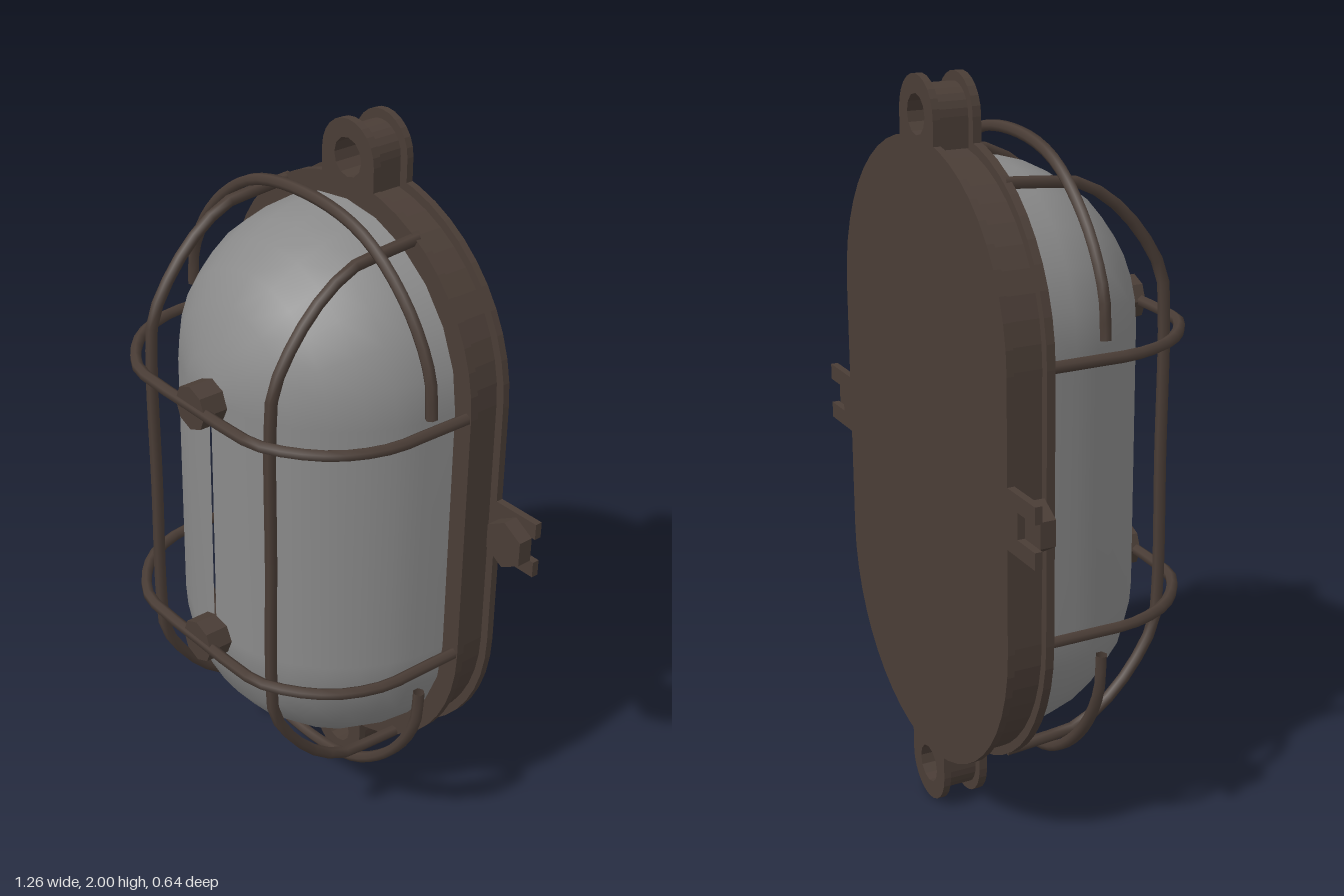
import * as THREE from 'three';

const CY = 1.0, HALF = 0.36; // middle height, half length of the straight sides

export function createModel() {
  const model = new THREE.Group();
  const metal = new THREE.MeshStandardMaterial({ color: 0x4a3d36, side: THREE.DoubleSide });
  metal.name = 'dark brown metal';
  const glass = new THREE.MeshStandardMaterial({ color: 0x8a8a8a });
  glass.name = 'grey glass';

  const add = (name, geometry, material = metal) => {
    const mesh = new THREE.Mesh(geometry, material);
    mesh.name = name;
    model.add(mesh);
    return mesh;
  };
  const slab = (shape, z0, z1, curveSegments = 12) =>
    new THREE.ExtrudeGeometry(shape, { depth: z1 - z0, bevelEnabled: false, curveSegments }).translate(0, 0, z0);

  // Rounded-end outline around the two end centres
  const stadium = (r) => {
    const s = new THREE.Shape();
    s.absarc(0, CY + HALF, r, 0, Math.PI, false);
    s.absarc(0, CY - HALF, r, Math.PI, 2 * Math.PI, false);
    s.closePath();
    return s;
  };

  // Base: two flanges with a shallow channel between them
  add('backFlange', slab(stadium(0.487), -0.325, -0.305));
  add('baseBody', slab(stadium(0.463), -0.305, -0.218));
  add('frontFlange', slab(stadium(0.487), -0.218, -0.195));

  // Hanging lugs at the top and bottom
  const lugShape = (r, hole) => {
    const s = new THREE.Shape();
    s.moveTo(-r, 0.82);
    s.lineTo(r, 0.82);
    s.absarc(0, 0.9, r, 0, Math.PI, false);
    s.closePath();
    const h = new THREE.Path();
    h.absarc(0, 0.9, hole, 0, 2 * Math.PI, true);
    s.holes.push(h);
    return s;
  };
  for (const [side, turn] of [['top', 0], ['bottom', Math.PI]]) {
    for (const [part, r, z0, z1] of [
      ['LugBack', 0.1, -0.325, -0.305],
      ['LugBoss', 0.075, -0.305, -0.218],
      ['LugFront', 0.1, -0.218, -0.195],
    ]) {
      const geo = slab(lugShape(r, 0.052), z0, z1, 6).rotateZ(turn).translate(0, CY, 0);
      add(side + part, geo);
    }
  }

  // Slotted side tabs with hexagonal bolts
  for (const s of [1, -1]) {
    const side = s > 0 ? 'left' : 'right';
    const pts = [[0.44, -0.08], [0.63, -0.08], [0.63, -0.035], [0.54, -0.035],
      [0.54, 0.035], [0.63, 0.035], [0.63, 0.08], [0.44, 0.08]];
    const tab = new THREE.Shape(pts.map(([x, y]) => new THREE.Vector2(s * x, CY + 0.005 + y)));
    add(side + 'Tab', slab(tab, -0.325, -0.305));
    const bolt = new THREE.CylinderGeometry(0.068, 0.068, 0.042, 6).toNonIndexed();
    bolt.rotateX(Math.PI / 2).computeVertexNormals();
    add(side + 'Bolt', bolt).position.set(s * 0.56, CY + 0.005, -0.284);
  }

  // Glass cover: shrinking rounded-end loops up to a ridge line
  const profile = [[0.43, -0.2], [0.42, -0.1], [0.4, -0.03], [0.365, 0.04], [0.31, 0.115],
    [0.235, 0.175], [0.12, 0.228], [0.004, 0.245]];
  const arc = 12, ring = 2 * (arc + 1), pos = [], idx = [];
  for (const [r, z] of profile) {
    for (let i = 0; i < ring; i++) {
      const upper = i <= arc;
      const a = (upper ? i : i - 1) / arc * Math.PI;
      pos.push(r * Math.cos(a), CY + (upper ? HALF : -HALF) + r * Math.sin(a), z);
    }
  }
  for (let k = 0; k < profile.length - 1; k++) {
    for (let i = 0; i < ring; i++) {
      const a = k * ring + i, b = k * ring + (i + 1) % ring;
      idx.push(a, b, b + ring, a, b + ring, a + ring);
    }
  }
  const cover = new THREE.BufferGeometry();
  cover.setAttribute('position', new THREE.Float32BufferAttribute(pos, 3));
  cover.setIndex(idx);
  cover.computeVertexNormals();
  add('glassCover', cover, glass);

  // Guard wires: half a path mirrored, then swept
  const wire = (name, half, place) => {
    const full = [...half, ...half.filter(([u]) => u !== 0).reverse().map(([u, v]) => [-u, v])];
    const curve = new THREE.CatmullRomCurve3(full.map(([u, v]) => place(u, v)), false, 'centripetal');
    add(name, new THREE.TubeGeometry(curve, 32, 0.016, 6));
  };
  const across = [[0.47, -0.21], [0.468, -0.08], [0.462, 0.05], [0.4, 0.18], [0.26, 0.285], [0.15, 0.298], [0, 0.298]];
  const along = [[0.765, -0.21], [0.757, -0.1], [0.745, 0], [0.66, 0.125], [0.5, 0.235], [0.4, 0.248], [0, 0.248]];
  const hoop = [[0.488, 0.415], [0.475, 0.53], [0.385, 0.68], [0.22, 0.805], [0, 0.842]];
  for (const s of [1, -1]) {
    const end = s > 0 ? 'upper' : 'lower';
    wire(end + 'CrossWire', across, (u, v) => new THREE.Vector3(u, CY + s * HALF, v));
    wire(end + 'HoopWire', hoop, (u, v) => new THREE.Vector3(u, CY + s * v, -0.06));
    wire((s > 0 ? 'left' : 'right') + 'LongWire', along, (u, v) => new THREE.Vector3(s * 0.25, CY + u, v));

    // Button joining the cross wire to the glass
    const button = new THREE.CylinderGeometry(0.061, 0.061, 0.075, 8).toNonIndexed();
    button.rotateX(Math.PI / 2).computeVertexNormals();
    add(end + 'Button', button).position.set(0, CY + s * HALF, 0.27);
  }
  return model;
}
